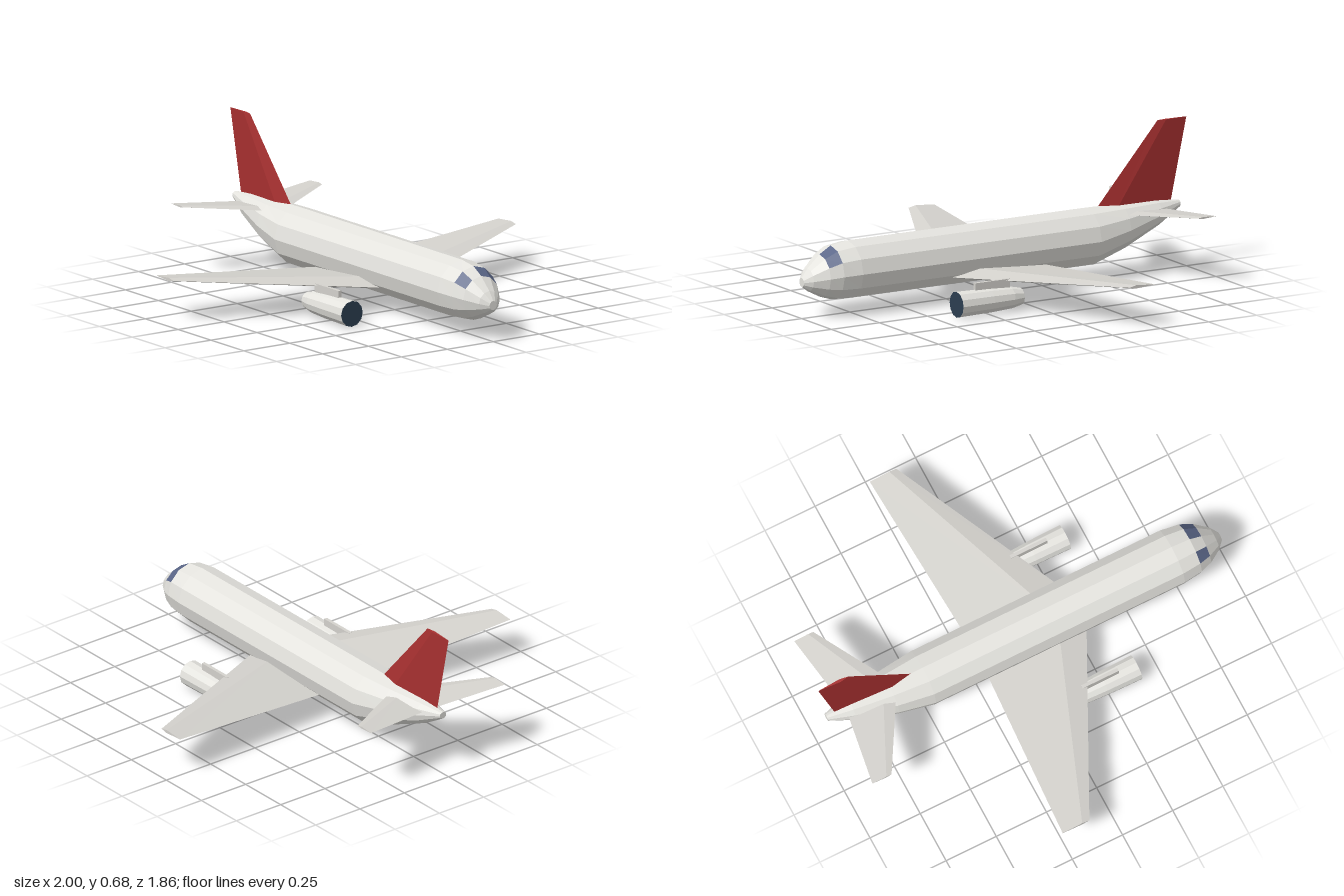
import * as THREE from 'three';

function makeMaterial(name, color) {
  const m = new THREE.MeshStandardMaterial({ color });
  m.name = name;
  return m;
}

// Faceted solid through rings of points, capped at both ends.
// slot(ring, side) picks a material slot for each quad; capSlot is for the last cap.
function loft(rings, slot = () => 0, capSlot = 0) {
  const n = rings[0].length;
  const slots = [[], []];
  const tri = (s, a, b, c) => slots[s].push([a, b, c]);
  for (let r = 0; r < rings.length - 1; r++) {
    for (let i = 0; i < n; i++) {
      const j = (i + 1) % n, s = slot(r, i);
      const a = rings[r][i], b = rings[r][j], c = rings[r + 1][j], d = rings[r + 1][i];
      tri(s, a, b, c);
      tri(s, a, c, d);
    }
  }
  const first = rings[0], last = rings[rings.length - 1];
  for (let i = 1; i < n - 1; i++) {
    tri(0, first[0], first[i + 1], first[i]);
    tri(capSlot, last[0], last[i], last[i + 1]);
  }

  // Turn every face outward, whichever way the rings ran
  let volume = 0;
  for (const [a, b, c] of slots.flat()) volume += a.dot(b.clone().cross(c));
  const geometry = new THREE.BufferGeometry();
  const points = [];
  slots.forEach((list, s) => {
    if (!list.length) return;
    geometry.addGroup(points.length, list.length * 3, s);
    for (const [a, b, c] of list) points.push(...(volume < 0 ? [a, c, b] : [a, b, c]));
  });
  geometry.setFromPoints(points);
  geometry.computeVertexNormals();
  return geometry;
}

// Twelve-sided ring across the x axis, starting at the top and turning towards +z
function ring(x, top, bottom, halfWidth) {
  return Array.from({ length: 12 }, (_, i) => {
    const a = (i / 12) * Math.PI * 2;
    return new THREE.Vector3(
      x,
      (top + bottom) / 2 + Math.cos(a) * (top - bottom) / 2,
      Math.sin(a) * halfWidth
    );
  });
}

// Wedge-shaped section: leading edge, ridge, trailing edge, ridge
function foil(lead, trail, thickness, place) {
  const ridge = lead + (trail - lead) * 0.27, t = thickness / 2;
  return [place(lead, 0), place(ridge, t), place(trail, 0), place(ridge, -t)];
}

export function createModel() {
  const group = new THREE.Group();
  const bodyPaint = makeMaterial('body white', 0xe4e3de);
  const wingPaint = makeMaterial('wing grey', 0xd4d2cd);
  const finPaint = makeMaterial('fin red', 0xa83030);
  const glass = makeMaterial('window blue', 0x5b6789);
  const intake = makeMaterial('intake navy', 0x2c3e50);

  const add = (name, geometry, material, parent = group) => {
    const mesh = new THREE.Mesh(geometry, material);
    mesh.name = name;
    parent.add(mesh);
    return mesh;
  };

  // Fuselage with the cockpit windows as faces: x, top, bottom, half width
  const sections = [
    [-0.96, 0.307, 0.275, 0.018],
    [-0.84, 0.319, 0.205, 0.06],
    [-0.65, 0.325, 0.122, 0.106],
    [-0.48, 0.328, 0.066, 0.132],
    [0.76, 0.328, 0.066, 0.132],
    [0.85, 0.316, 0.071, 0.12],
    [0.908, 0.282, 0.09, 0.098],
    [0.97, 0.226, 0.122, 0.056],
    [1.0, 0.186, 0.145, 0.02],
  ];
  const isWindow = (r, i) => (r === 5 && [1, 10, 11].includes(i) ? 1 : 0);
  add('fuselage', loft(sections.map((s) => ring(...s)), isWindow), [bodyPaint, glass]);

  // Swept tail fin
  const finAt = (y, lead, trail, thickness) =>
    foil(lead, trail, thickness, (x, d) => new THREE.Vector3(x, y, d));
  add('tailFin', loft([finAt(0.28, -0.5, -0.913, 0.034), finAt(0.68, -0.85, -1.0, 0.014)]), finPaint);

  for (const [side, s] of [['left', -1], ['right', 1]]) {
    const foilAt = (z, y, lead, trail, thickness) =>
      foil(lead, trail, thickness, (x, d) => new THREE.Vector3(x, y + d, s * z));

    // Main wing and tailplane
    add(side + 'Wing', loft([
      foilAt(0.04, 0.117, 0.315, -0.203, 0.056),
      foilAt(0.932, 0.187, -0.13, -0.263, 0.015),
    ]), wingPaint);
    add(side + 'Tailplane', loft([
      foilAt(0.02, 0.283, -0.62, -0.866, 0.022),
      foilAt(0.378, 0.309, -0.83, -0.925, 0.009),
    ]), wingPaint);

    // Engine with a dark intake face, hung on a pylon
    const engine = new THREE.Group();
    engine.name = side + 'Engine';
    engine.position.set(0, 0.06, s * 0.345);
    const profile = [[0.075, 0.038], [0.13, 0.05], [0.24, 0.056], [0.407, 0.059]];
    add('nacelle', loft(profile.map(([x, r]) => ring(x, r, -r, r)), undefined, 1), [bodyPaint, intake], engine);
    const pylon = add('pylon', new THREE.BoxGeometry(0.18, 0.045, 0.016), wingPaint, engine);
    pylon.position.set(0.225, 0.065, 0);
    group.add(engine);
  }
  return group;
}
